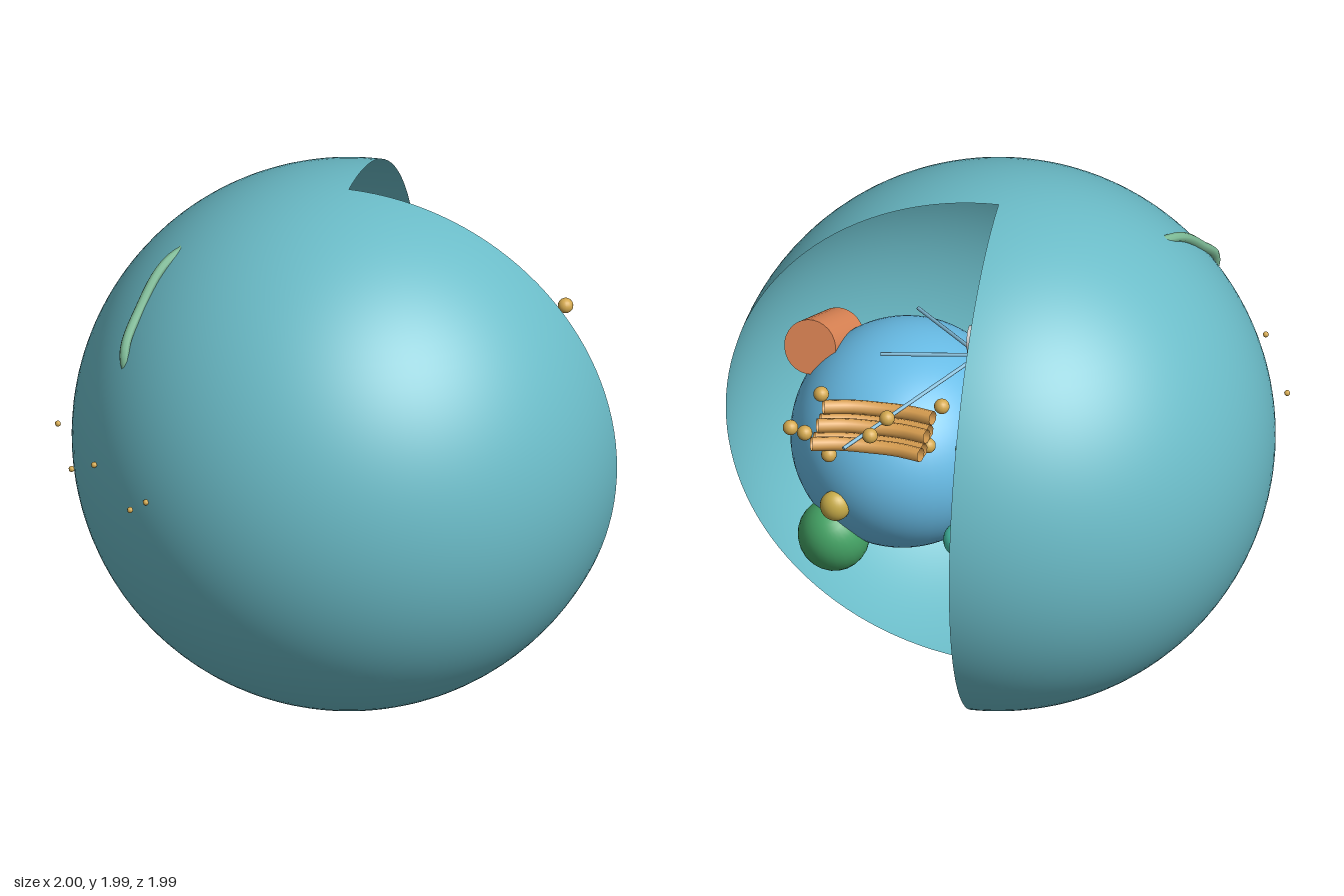
import * as THREE from 'three';

export function createModel() {
  const model = new THREE.Group();
  const v = (p) => new THREE.Vector3(...p);
  const paint = (color) => new THREE.MeshStandardMaterial({ color, side: THREE.DoubleSide });
  const mats = {
    shell: paint(0x6bbcc8), blue: paint(0x68bce6), purple: paint(0x9b59b6), core: paint(0x6c3483),
    pink: paint(0xbb7fd0), reticulum: paint(0x7dbb96), green: paint(0x45a566), teal: paint(0x48c9b0),
    orange: paint(0xdc8454), tan: paint(0xdca152), gold: paint(0xd4a94f), yellow: paint(0xc9ad4a),
    white: paint(0xcccccc), fibre: paint(0x85bfdc),
  };
  const add = (name, geometry, mat, pos = [0, 0, 0], parent = model) => {
    const mesh = new THREE.Mesh(geometry, mats[mat]);
    mesh.name = name;
    mesh.position.set(...pos);
    parent.add(mesh);
    return mesh;
  };
  const group = (name) => {
    const g = new THREE.Group();
    g.name = name;
    model.add(g);
    return g;
  };
  const ball = (name, r, mat, pos, parent, scale = [1, 1, 1], seg = 24) => {
    const m = add(name, new THREE.SphereGeometry(r, seg, Math.ceil(seg * 0.7)), mat, pos, parent);
    m.scale.set(...scale);
    return m;
  };
  const tube = (name, pts, r, mat, parent, closed = false, seg = 60) =>
    add(name, new THREE.TubeGeometry(new THREE.CatmullRomCurve3(pts.map(v), closed), seg, r, 8, closed),
      mat, [0, 0, 0], parent);
  const rod = (name, a, b, r, mat, parent) => {
    const A = v(a), B = v(b), d = B.clone().sub(A);
    const m = add(name, new THREE.CylinderGeometry(r, r, d.length(), r > 0.03 ? 28 : 8), mat,
      A.clone().add(B).multiplyScalar(0.5).toArray(), parent);
    m.quaternion.setFromUnitVectors(new THREE.Vector3(0, 1, 0), d.normalize());
    return m;
  };

  // Outer membrane with the back left quarter cut away
  add('outerMembrane', new THREE.SphereGeometry(0.995, 96, 64, Math.PI * 1.5, Math.PI * 1.5),
    'shell', [0.003, 0.997, 0]);

  // Large storage body
  ball('vacuole', 1, 'blue', [0.37, 0.87, 0.14], model, [0.41, 0.4, 0.455], 56);

  // Nucleus: open bowl, core and short strands
  const c = [-0.24, 0.97, 0.11];
  const nucleus = group('nucleus');
  add('nucleusBowl', new THREE.SphereGeometry(0.33, 40, 32, Math.PI * 1.75, Math.PI), 'purple', c, nucleus);
  ball('nucleolus', 0.11, 'core', [-0.17, 0.98, 0.06], nucleus);
  for (let i = 0; i < 6; i++) {
    const a = i * 1.05, x = -0.2 + 0.13 * Math.cos(a), z = 0.03 + 0.13 * Math.cos(a);
    const y = 0.9 + 0.15 * Math.sin(a);
    rod('strand', [x - 0.05, y, z - 0.05], [x + 0.05, y + 0.03 * Math.cos(i * 2), z + 0.02], 0.012, 'pink', nucleus);
  }

  // Looping tubes around the nucleus
  const reticulum = group('reticulum');
  const loops = [
    [[-0.69, 1.47, 0.53], [-0.665, 1.63, 0.4], [-0.59, 1.76, 0.24], [-0.38, 1.74, -0.02], [-0.27, 1.42, -0.2],
      [-0.02, 1.1, -0.25], [-0.2, 0.95, -0.05], [-0.5, 1.12, 0.35]],
    [[-0.55, 1.45, 0.35], [-0.35, 1.58, 0], [-0.25, 1.42, -0.16], [-0.03, 1.14, -0.23], [-0.15, 1.0, -0.05], [-0.45, 1.15, 0.2]],
    [[-0.6, 1.2, 0.1], [-0.53, 1.3, -0.12], [-0.35, 1.15, -0.24], [0.05, 1.1, -0.25], [-0.15, 1, -0.1], [-0.5, 1.0, 0.1]],
    [[-0.6, 1.0, 0], [-0.48, 1.1, -0.17], [-0.3, 1.08, -0.25], [0.1, 1.08, -0.24], [-0.1, 0.95, -0.05], [-0.5, 0.85, 0.1]],
    [[0.2, 0.75, 0.0], [0.1, 0.5, 0.2], [0.04, 0.31, 0.3], [-0.08, 0.45, 0.2], [-0.05, 0.65, 0], [0.05, 0.9, -0.1]],
    [[0.35, 0.45, 0.3], [0.15, 0.42, 0.25], [-0.1, 0.55, 0.15], [-0.1, 0.75, 0.4], [0.2, 0.6, 0.55]],
  ];
  loops.forEach((pts) => tube('reticulumLoop', pts, 0.018, 'reticulum', reticulum, true, 120));

  // Pair of crossed barrels with radiating fibres
  const hub = [0.06, 1.38, -0.07];
  rod('centrioleUpright', [0.06, 1.31, -0.07], [0.06, 1.43, -0.07], 0.045, 'white', model);
  rod('centrioleAcross', [0.02, 1.45, -0.07], [0.1, 1.45, -0.07], 0.045, 'white', model);
  const fibres = group('fibres');
  [[0.46, 1.28, -0.6], [0.42, 1.34, -0.07], [-0.09, 1.03, -0.8], [-0.15, 1.04, -0.59], [-0.2, 1.25, -0.55],
    [0.06, 1.1, -0.08], [-0.35, 1.3, -0.1], [-0.2, 1.25, 0.3], [0.35, 1.3, 0.3]]
    .forEach((end) => rod('fibre', hub, end, 0.007, 'fibre', fibres));

  // Stack of curved tubes with vesicles around it
  const stack = group('stackedTubes');
  for (let i = 0; i < 5; i++) {
    const z = -0.585 + i * 0.06, y = i % 2 ? 1.245 : 1.265;
    tube('stackTube', [[0.18, y + 0.01, z], [0.28, y, z + 0.035], [0.38, y - 0.005, z + 0.045],
      [0.48, y, z + 0.035], [0.58, y + 0.01, z]], 0.026, 'tan', stack, false, 30);
  }
  [[0.15, 1.32, -0.33], [0.44, 1.22, -0.33], [0.59, 1.32, -0.33], [0.18, 1.22, -0.44], [0.33, 1.32, -0.44],
    [0.63, 1.22, -0.44], [0.37, 1.32, -0.56], [0.52, 1.22, -0.56], [0.66, 1.32, -0.56]]
    .forEach((p) => ball('vesicle', 0.028, 'gold', p, stack, [1, 1, 1], 16));

  // Round and oval bodies
  [[0.06, 0.82, -0.43], [-0.22, 1.13, -0.49], [-0.19, 0.5, -0.15]]
    .forEach((p) => ball('lysosome', 0.066, 'teal', p));
  ball('storageGrain', 0.055, 'yellow', [0.55, 0.8, -0.27], model, [1, 1.05, 0.85]);
  ball('chloroplast', 1, 'green', [0.58, 0.58, -0.13], model, [0.13, 0.15, 0.13]).rotation.x = -0.6;
  ball('chloroplast', 1, 'green', [-0.38, 0.58, -0.1], model, [0.12, 0.12, 0.17]).rotation.x = 0.5;

  // Barrel shaped bodies
  rod('mitochondrion', [-0.42, 0.98, -0.465], [-0.42, 0.73, -0.35], 0.1, 'orange', model);
  rod('mitochondrion', [0.66, 1.08, 0.4], [0.72, 1.18, 0.16], 0.1, 'orange', model);
  rod('mitochondrion', [0.2, 0.42, 0.33], [0.4, 0.44, 0.25], 0.09, 'orange', model);

  // Tiny grains, a few of them outside the membrane
  const grains = group('ribosomes');
  const dots = [[-0.99, 1.075, 0.33], [-0.85, 1.085, 0.67], [-0.78, 1.085, 0.62], [-0.57, 1.08, 0.91], [-0.53, 1.08, 0.84]];
  for (let i = 0; i < 20; i++) {
    dots.push([-0.28 + 0.16 * Math.sin(i * 2.4), 1.075 + 0.03 * Math.cos(i * 1.7), -0.3 - i * 0.015]);
  }
  for (let i = 0; i < 8; i++) {
    dots.push([-0.45 + 0.05 * Math.sin(i * 2), 0.72 + 0.03 * Math.cos(i * 3), -0.1 - 0.02 * i]);
    dots.push([-0.1 + 0.1 * Math.sin(i * 2.1), 1.21 + 0.02 * Math.cos(i * 2), -0.15 - 0.01 * i]);
  }
  dots.forEach((p) => ball('ribosome', 0.011, 'gold', p, grains, [1, 1, 1], 8));

  return model;
}
